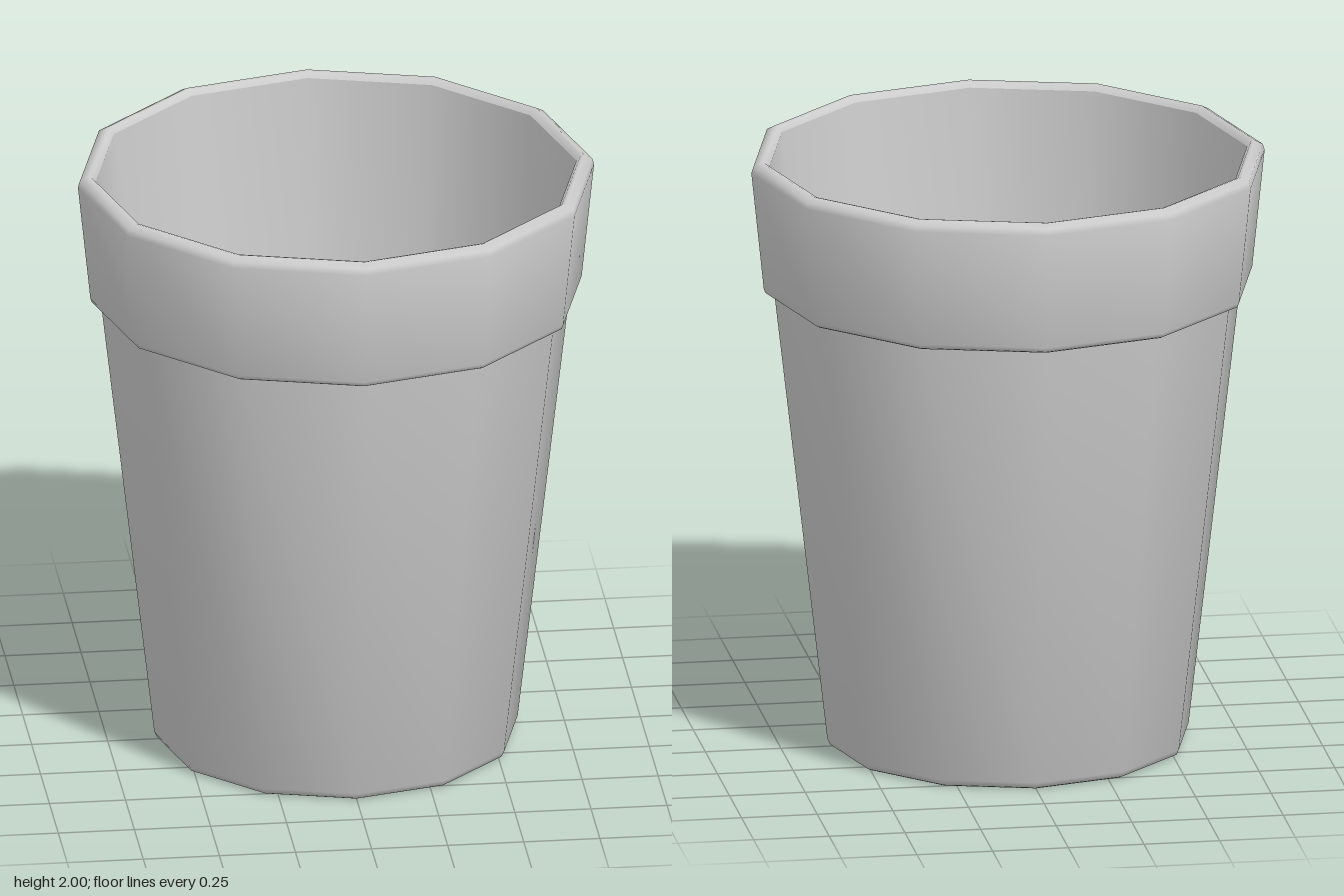
import * as THREE from 'three';
import { toCreasedNormals } from 'three/addons/utils/BufferGeometryUtils.js';

const SIDES = 12;

export function createModel() {
  const group = new THREE.Group();
  group.name = 'plantPot';
  const material = new THREE.MeshStandardMaterial({ color: 0xcccccc });

  // Turns a [radius, height] profile into a twelve-sided part
  const turned = (name, profile) => {
    const points = profile.map(([r, y]) => new THREE.Vector2(r, y));
    const geometry = toCreasedNormals(new THREE.LatheGeometry(points, SIDES), 0.9);
    const mesh = new THREE.Mesh(geometry, material);
    mesh.name = name;
    group.add(mesh);
  };

  // Underside, bevelled foot and tapering outer wall
  turned('outerBody', [[0, 0], [0.575, 0], [0.588, 0.006], [0.597, 0.025], [0.772, 1.55]]);

  // Collar with bevelled lower and upper edges, ending at the inner lip
  turned('rim', [
    [0.772, 1.55], [0.79, 1.55], [0.802, 1.556], [0.807, 1.57],
    [0.848, 1.965], [0.842, 1.985], [0.815, 2], [0.803, 1.997], [0.79, 1.98],
  ]);

  // Hollow inside, down to the flat floor
  turned('innerWall', [[0.79, 1.98], [0.56, 0.05]]);
  turned('floor', [[0.56, 0.05], [0, 0.05]]);

  return group;
}
